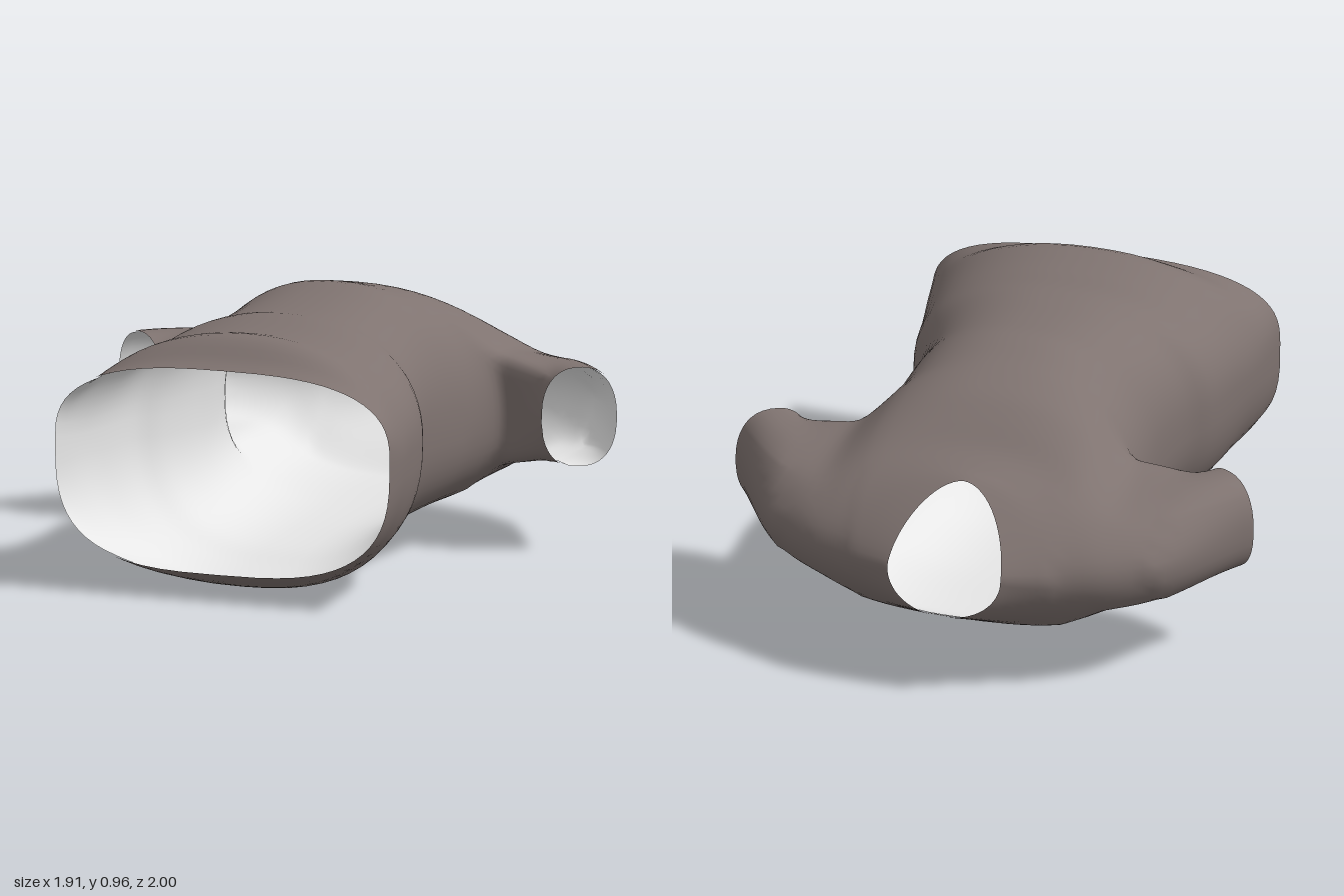
import * as THREE from 'three';

// Cross-sections from hem to neck: z of chest, side, back; y of chest, side, back; half width; squareness
const SECTIONS = [
  [0.94, 0.97, 1.0, 0.82, 0.54, 0.10, 0.64, 2.8],
  [0.88, 0.90, 0.92, 0.845, 0.53, 0.06, 0.63, 2.5],
  [0.77, 0.77, 0.78, 0.915, 0.52, 0.018, 0.61, 2.15],
  [0.60, 0.62, 0.66, 0.90, 0.52, 0.003, 0.58, 2.2],
  [0.42, 0.45, 0.50, 0.925, 0.52, 0.03, 0.55, 2.2],
  [0.30, 0.33, 0.35, 0.92, 0.51, 0.07, 0.495, 2.25],
  [0.12, 0.15, 0.15, 0.94, 0.50, 0.09, 0.46, 2.3],
  [-0.04, 0, 0, 0.96, 0.48, 0.10, 0.465, 2.3],
  [-0.18, -0.2, -0.2, 0.935, 0.47, 0.11, 0.485, 2.3],
  [-0.28, -0.32, -0.34, 0.915, 0.47, 0.12, 0.53, 2.3],
  [-0.38, -0.5, -0.5, 0.885, 0.47, 0.135, 0.56, 2.2],
  [-0.47, -0.68, -0.6, 0.835, 0.46, 0.14, 0.57, 2.15],
  [-0.57, -0.845, -0.68, 0.77, 0.46, 0.15, 0.565, 2.1],
  [-0.66, -0.89, -0.8, 0.74, 0.46, 0.21, 0.45, 2.05],
  [-0.71, -0.935, -0.9, 0.73, 0.46, 0.26, 0.33, 1.95],
  [-0.74, -0.98, -1.0, 0.72, 0.47, 0.31, 0.208, 1.8],
];
const SUB = 4, COLS = 64, ROWS = (SECTIONS.length - 1) * SUB;
const HOLE = { r0: 9 * SUB, r1: 12 * SUB, c: 5 };   // armhole in grid steps
const SLEEVE_STEPS = 14, SMOOTHING = 6, THICKNESS = 0.005;

const signedPow = (v, e) => Math.sign(v) * Math.abs(v) ** e;

// Smooth value between sections
function sectionAt(row) {
  const last = SECTIONS.length - 1;
  const i = Math.min(Math.floor(row / SUB), last - 1), t = row / SUB - i;
  const at = (k) => SECTIONS[Math.max(0, Math.min(last, k))];
  return SECTIONS[i].map((b, k) => {
    const a = at(i - 1)[k], c = at(i + 1)[k], d = at(i + 2)[k];
    return b + 0.5 * t * (c - a + t * (2 * a - 5 * b + 4 * c - d + t * (3 * (b - c) + d - a)));
  });
}

// The back half is a little squarer than the chest
function torsoPoint(row, col) {
  const [zT, zS, zB, yT, yS, yB, w, n] = sectionAt(row);
  const a = (col / COLS) * Math.PI * 2, c = Math.cos(a), s = Math.sin(a);
  const e = 2 / (s > 0 ? n : n + 0.3), lift = Math.abs(s);
  return new THREE.Vector3(w * signedPow(c, e),
    yS + ((s > 0 ? yT : yB) - yS) * lift ** e,
    zS + ((s > 0 ? zT : zB) - zS) * lift ** 1.4);
}

// Relax the cloth around the armholes
function relaxArmholes(points, index) {
  const neighbours = points.map(() => new Set());
  index.forEach((v, i) => {
    const t = i - (i % 3);
    for (let k = t; k < t + 3; k++) if (index[k] !== v) neighbours[v].add(index[k]);
  });
  const loose = (p) => Math.abs(p.x) > 0.38 && Math.abs(p.x) < 0.7 && p.z > -0.92 && p.z < -0.15;
  for (let n = 0; n < SMOOTHING; n++) {
    const moved = points.map((p, i) => {
      if (!loose(p)) return p;
      const mean = new THREE.Vector3();
      neighbours[i].forEach((k) => mean.add(points[k]));
      return mean.divideScalar(neighbours[i].size).lerp(p, 0.4);
    });
    points = moved;
  }
  return points;
}

export function createModel() {
  const points = [], torso = [], sleeves = { 1: [], '-1': [] };
  const wrap = (c) => (c + COLS) % COLS;
  const id = (r, c) => r * COLS + wrap(c);
  const quad = (list, a, b, c, d, flip) =>
    flip ? list.push(a, c, b, b, c, d) : list.push(a, b, c, b, d, c);

  // Torso grid, left open at both armholes
  for (let r = 0; r <= ROWS; r++)
    for (let c = 0; c < COLS; c++) points.push(torsoPoint(r, c));
  const inHole = (r, c) => r >= HOLE.r0 && r < HOLE.r1 &&
    [0, COLS / 2].some((mid) => wrap(c - mid + HOLE.c) < HOLE.c * 2);
  for (let r = 0; r < ROWS; r++)
    for (let c = 0; c < COLS; c++)
      if (!inHole(r, c)) quad(torso, id(r, c), id(r + 1, c), id(r, c + 1), id(r + 1, c + 1));

  // Grid corners around the left armhole
  const loop = [];
  for (let r = HOLE.r0; r < HOLE.r1; r++) loop.push([r, -HOLE.c]);
  for (let c = -HOLE.c; c < HOLE.c; c++) loop.push([HOLE.r1, c]);
  for (let r = HOLE.r1; r > HOLE.r0; r--) loop.push([r, HOLE.c]);
  for (let c = HOLE.c; c > -HOLE.c; c--) loop.push([HOLE.r0, c]);

  // Sleeves curve from the armhole to a rounded cuff
  for (const side of [1, -1]) {
    let ring = loop.map(([r, c]) => id(r, side > 0 ? c : COLS / 2 - c));
    const curves = loop.map(([r, c]) => {
      const p = torsoPoint(r, c);
      const a = Math.atan2((p.y - 0.48) / 0.2, -(p.z + 0.56) / 0.24);
      const u = signedPow(Math.cos(a), 0.85), v = signedPow(Math.sin(a), 0.85);
      const q = new THREE.Vector3(0.838 + 0.115 * u, 0.49 + 0.18 * v, -0.295 - 0.075 * u);
      const d = p.distanceTo(q) / 3;
      const p1 = p.clone().add(new THREE.Vector3(0.95, 0, 0.3).multiplyScalar(d));
      const q1 = q.clone().sub(new THREE.Vector3(0.57, 0, 0.82).multiplyScalar(d));
      return new THREE.CubicBezierCurve3(p, p1, q1, q);
    });
    for (let s = 1; s <= SLEEVE_STEPS; s++) {
      const next = curves.map((curve) => {
        const p = curve.getPoint(s / SLEEVE_STEPS);
        p.x *= side;
        return points.push(p) - 1;
      });
      ring.forEach((a, k) => {
        const m = (k + 1) % ring.length;
        quad(sleeves[side], a, ring[m], next[k], next[m], side < 0);
      });
      ring = next;
    }
  }

  // Shared vertices keep the shading smooth across the seams
  const allFaces = [...torso, ...sleeves[1], ...sleeves[-1]];
  const relaxed = relaxArmholes(points, allFaces);
  const outer = new THREE.BufferGeometry().setFromPoints(relaxed);
  outer.setIndex(allFaces);
  outer.computeVertexNormals();

  // The lining lies just inside the cloth and faces inward
  const normal = outer.getAttribute('normal');
  const inner = new THREE.BufferGeometry().setFromPoints(relaxed.map((p, i) =>
    new THREE.Vector3().fromBufferAttribute(normal, i).multiplyScalar(-THICKNESS).add(p)));
  inner.setIndex([...allFaces].reverse());
  inner.computeVertexNormals();

  const cloth = new THREE.MeshStandardMaterial({ color: 0x7f7370 });
  cloth.name = 'taupe cloth';
  const lining = new THREE.MeshStandardMaterial({ color: 0xe6e6e6 });
  lining.name = 'pale lining';

  const shirt = new THREE.Group();
  shirt.name = 'shirt';
  const addMesh = (name, source, index, material) => {
    const g = source.clone();
    g.setIndex(index);
    const mesh = new THREE.Mesh(g, material);
    mesh.name = name;
    shirt.add(mesh);
  };
  const parts = { torso, leftSleeve: sleeves[1], rightSleeve: sleeves[-1] };
  for (const [name, index] of Object.entries(parts)) {
    addMesh(name, outer, index, cloth);
    addMesh(name + 'Lining', inner, [...index].reverse(), lining);
  }
  return shirt;
}
